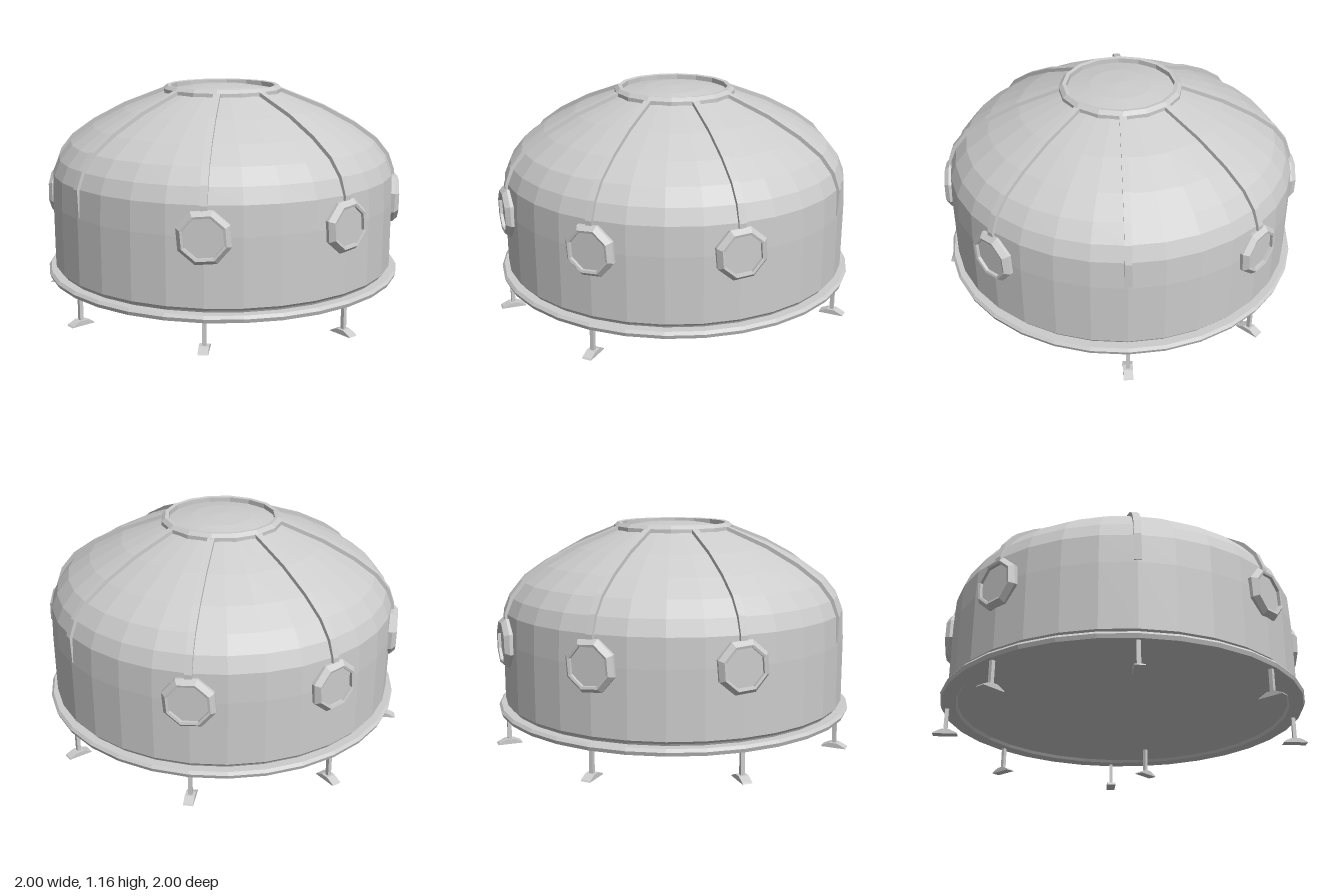
import * as THREE from 'three';

const metal = new THREE.MeshStandardMaterial({ color: 0xcccccc, flatShading: true });
metal.name = 'pale grey metal';

const lathe = (pts, sides) =>
  new THREE.LatheGeometry(pts.map(([r, y]) => new THREE.Vector2(r, y)), sides);

// Side profile in (radius, height), extruded to a centred width
function slab(pts, width) {
  const shape = new THREE.Shape(pts.map(([x, y]) => new THREE.Vector2(x, y)));
  return new THREE.ExtrudeGeometry(shape, { depth: width, bevelEnabled: false })
    .translate(0, 0, -width / 2);
}

function add(parent, name, geometry) {
  const mesh = new THREE.Mesh(geometry, metal);
  mesh.name = name;
  parent.add(mesh);
  return mesh;
}

export function createModel() {
  const model = new THREE.Group();
  model.name = 'domeHabitat';

  // Faceted shell
  add(model, 'domeShell', lathe([
    [0.91, 0.17], [0.92, 0.19], [0.935, 0.205], [0.935, 0.55], [0.928, 0.7], [0.895, 0.78],
    [0.83, 0.86], [0.71, 0.945], [0.54, 1.035], [0.31, 1.125], [0.16, 1.15], [0, 1.16],
  ], 32));

  // Base rim with a recessed floor
  add(model, 'baseRim', lathe([
    [0, 0.16], [0.88, 0.16], [0.89, 0.145], [0.965, 0.145], [0.972, 0.165], [0.96, 0.18], [0.9, 0.18],
  ], 32));

  // Collar around the roof cap
  add(model, 'roofCollar', lathe([
    [0.285, 1.11], [0.325, 1.11], [0.325, 1.14], [0.305, 1.158], [0.285, 1.155], [0.285, 1.11],
  ], 16));

  // Rib profile: the dome curve, raised, with its inner side sunk into the shell
  const outer = [[0.31, 1.145], [0.55, 1.052], [0.72, 0.962], [0.842, 0.875],
    [0.91, 0.79], [0.942, 0.7], [0.938, 0.56]];
  const inner = outer.map(([r, y]) => [r * 0.95, 0.4 + (y - 0.4) * 0.95]).reverse();
  const ribGeometry = slab([...inner, ...outer], 0.036);

  // Porthole parts, facing +x
  const frameGeometry = lathe([
    [0.135, 0.9], [0.138, 0.94], [0.115, 0.965], [0.102, 0.962], [0.102, 0.9],
  ], 8).rotateZ(-Math.PI / 2).rotateX(Math.PI / 8 + 0.08);
  const paneGeometry = new THREE.CircleGeometry(0.112, 12).rotateY(Math.PI / 2).translate(0.946, 0, 0);

  // Leg parts, foot pointing along x
  const postGeometry = new THREE.BoxGeometry(0.02, 0.145, 0.02).translate(0, 0.0875, 0);
  const footGeometry = slab([
    [-0.065, 0], [0.065, 0], [0.06, 0.007], [0.02, 0.025], [-0.02, 0.025], [-0.06, 0.007],
  ], 0.05);

  for (let k = 0; k < 8; k++) {
    const angle = k * Math.PI / 4;
    add(model, 'rib', ribGeometry).rotation.y = angle;

    // Portholes on every rib except front and back
    if (k % 4 !== 2) {
      const porthole = new THREE.Group();
      porthole.name = 'porthole';
      porthole.position.y = 0.55;
      porthole.rotation.y = angle;
      add(porthole, 'portholeFrame', frameGeometry);
      add(porthole, 'portholePane', paneGeometry);
      model.add(porthole);
    }

    // Legs round the rim; one stands further in, under the floor
    const leg = new THREE.Group();
    leg.name = 'leg';
    leg.rotation.y = angle;
    if (k === 1) leg.position.set(0.19, 0, -0.66);
    else leg.position.set(0.935 * Math.cos(angle), 0, -0.935 * Math.sin(angle));
    add(leg, 'legPost', postGeometry);
    add(leg, 'legFoot', footGeometry);
    model.add(leg);
  }
  return model;
}
